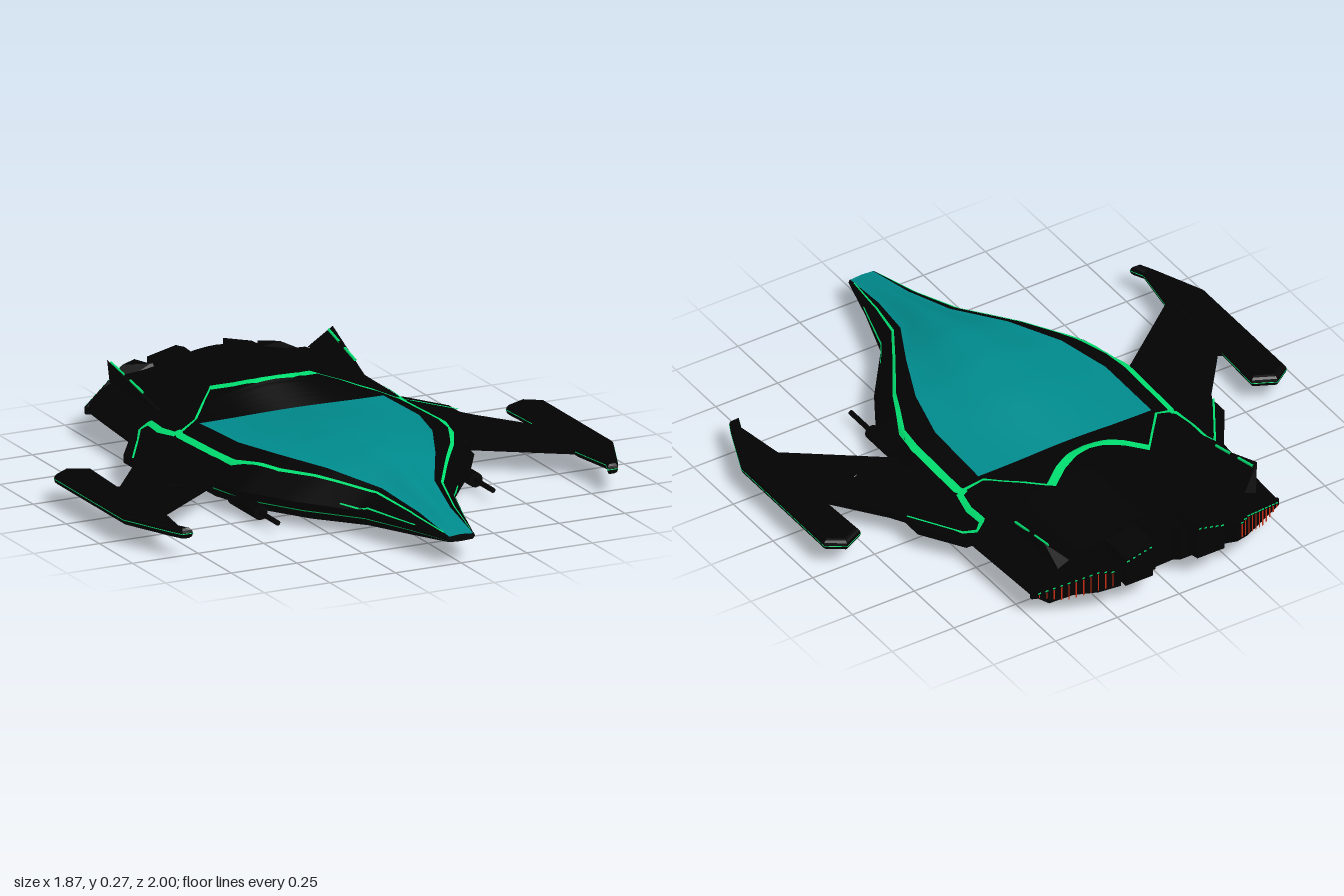
import * as THREE from 'three';

const mat = (name, color, side = THREE.FrontSide) =>
  Object.assign(new THREE.MeshStandardMaterial({ color, side }), { name });
const { lerp, clamp } = THREE.MathUtils;

// Hull stations: z, crown y, canopy edge x/y, shoulder x/y, widest x/y, chine x/y, keel y
const SECTIONS = [
  [1.0, .105, .046, .102, .05, .1, .053, .092, .045, .082, .08],
  [.8, .152, .06, .135, .085, .125, .112, .1, .09, .06, .05],
  [.6, .203, .1, .17, .135, .158, .18, .1, .15, .045, .028],
  [.4, .24, .205, .2, .26, .176, .335, .1, .27, .03, .012],
  [.2, .25, .295, .207, .385, .174, .455, .1, .38, .025, .006],
  [0, .237, .345, .2, .447, .16, .478, .1, .43, .02, .002],
  [-.28, .195, .35, .19, .447, .15, .5, .1, .44, .02, .004],
  [-.42, .262, .335, .21, .447, .155, .52, .1, .44, .02, .008],
  [-.85, .26, .34, .205, .435, .165, .5, .1, .43, .04, .022],
];
const CROWN = 9; // columns from centreline to canopy edge

// Half outline of the hull at z, from crown to keel
function halfSection(z) {
  let i = 0;
  while (i < SECTIONS.length - 2 && z < SECTIONS[i + 1][0]) i++;
  const a = SECTIONS[i], b = SECTIONS[i + 1], t = (z - a[0]) / (b[0] - a[0]);
  const [, yt, xc, yc, xg, yg, w, yw, xb, yb, yk] = a.map((v, k) => lerp(v, b[k], t));
  const pts = [];
  for (let k = 0; k <= CROWN; k++) {
    const u = k / CROWN;
    pts.push([xc * u, yc + (yt - yc) * (0.5 + 0.5 * Math.cos(Math.PI * u))]);
  }
  pts.push([xg, yg], [w, yw]);
  for (const u of [.5, .57, 1]) pts.push([lerp(w, xb, u), lerp(yw, yb, u)]);
  pts.push([0, yk]);
  return pts;
}

// Height of the upper hull (or of the wing outside it)
function topY(x, z) {
  const p = halfSection(z), ax = Math.abs(x);
  for (let k = 0; k < CROWN + 2; k++)
    if (ax <= p[k + 1][0]) return lerp(p[k][1], p[k + 1][1], (ax - p[k][0]) / (p[k + 1][0] - p[k][0]));
  return .109;
}

function gridGeometry(rows) {
  const n = rows[0].length, index = [];
  for (let i = 0; i < rows.length - 1; i++)
    for (let j = 0; j < n - 1; j++) {
      const a = i * n + j, c = a + n;
      index.push(a, a + 1, c, a + 1, c + 1, c);
    }
  const g = new THREE.BufferGeometry();
  g.setAttribute('position', new THREE.Float32BufferAttribute(rows.flat(2), 3));
  g.setIndex(index);
  g.computeVertexNormals();
  return g;
}

// Lengthwise strip of hull between two outline columns (negative = right side)
function hullStrip(from, to, zMax, zMin) {
  const rows = [];
  for (let i = 0; i < SECTIONS.length - 1; i++) {
    const a = SECTIONS[i][0], b = SECTIONS[i + 1][0];
    if (a > zMax || b < zMin) continue;
    for (let s = rows.length ? 1 : 0; s <= 4; s++) {
      const z = lerp(a, b, s / 4), half = halfSection(z), row = [];
      for (let k = from; k <= to; k++) {
        const [x, y] = half[Math.abs(k)];
        row.push([Math.sign(k) * x, y, z]);
      }
      rows.push(row);
    }
  }
  return gridGeometry(rows);
}

function hullCap(z) {
  const h = halfSection(z);
  const ring = [...h, ...h.slice(1, -1).reverse().map(([x, y]) => [-x, y])];
  return new THREE.ShapeGeometry(new THREE.Shape(ring.map(p => new THREE.Vector2(...p)))).translate(0, 0, z);
}

// Flat band laid over the upper surface along plan points [x, z, width]
function ribbon(points, lift = .003) {
  const rows = [];
  for (let i = 0; i < points.length - 1; i++) {
    for (let s = i ? 1 : 0; s <= 8; s++) {
      const [x, z, w] = points[i].map((v, k) => lerp(v, points[i + 1][k], s / 8));
      const p = points[i], q = points[s === 8 ? Math.min(i + 2, points.length - 1) : i + 1];
      const d = new THREE.Vector2(q[0] - p[0], q[1] - p[1]).normalize();
      rows.push([-.5, 0, .5].map(o => {
        const px = x - d.y * w * o, pz = z + d.x * w * o;
        return [px, topY(px, pz) + lift, pz];
      }));
    }
  }
  return gridGeometry(rows);
}

// Plate cut from plan points [x, z], standing on y
function plate(points, y, depth, { hole, bevel = 0, offset = -bevel } = {}) {
  const v = pts => pts.map(([x, z]) => new THREE.Vector2(x, -z));
  const shape = new THREE.Shape(v(points));
  if (hole) shape.holes.push(new THREE.Path(v(hole)));
  const g = new THREE.ExtrudeGeometry(shape, {
    depth, bevelEnabled: bevel > 0, bevelThickness: bevel, bevelSize: bevel, bevelOffset: offset, bevelSegments: 3,
  });
  return g.rotateX(-Math.PI / 2).translate(0, y, 0);
}

// Plate whose bottom and top follow height rules
function shapedPlate(points, low, top, options) {
  const g = plate(points, 0, 1, options), p = g.attributes.position;
  for (let i = 0; i < p.count; i++) p.setY(i, (p.getY(i) > .5 ? top : low)(p.getX(i), p.getZ(i)));
  g.computeVertexNormals();
  return g;
}

export function createModel() {
  const model = new THREE.Group();
  model.name = 'starfighter';
  const black = mat('hull black', 0x020202, THREE.DoubleSide);
  const teal = mat('canopy teal', 0x008a8c);
  const green = mat('trim green', 0x00e070, THREE.DoubleSide);
  const red = mat('vent red', 0xc42a10);
  const add = (name, geometry, material = black) => {
    const m = new THREE.Mesh(geometry, material);
    m.name = name;
    model.add(m);
  };
  // Thin light facing backwards
  const backPanel = (w, h, x, y, z) => new THREE.PlaneGeometry(w, h).rotateY(Math.PI).translate(x, y, z);

  // Fuselage
  add('canopy', hullStrip(-CROWN, CROWN, 1, -.28), teal);
  add('rearDeck', hullStrip(-CROWN, CROWN, -.28, -.85));
  add('noseCap', hullCap(1));
  add('tailCap', hullCap(-.85));
  const bands = [['rim', 9, 10, 1, -.85], ['upperSide', 10, 11, 1, -.85], ['lowerSide', 11, 12, 1, -.85],
    ['lowerTrim', 12, 13, 1, -.28, green], ['rearLowerSide', 12, 13, -.28, -.85],
    ['chine', 13, 14, 1, -.85], ['belly', 14, 15, 1, -.85]];
  for (const [name, a, b, z0, z1, m] of bands) {
    add(name + 'Left', hullStrip(a, b, z0, z1), m);
    add(name + 'Right', hullStrip(-b, -a, z0, z1), m);
  }

  // Ridges and chevron on the slope behind the canopy
  for (let i = 0; i < 5; i++) {
    const z = -.3 - i * .025, x = .32 - i * .03;
    add('deckRidge', ribbon([[-x, z, .012], [0, z, .012], [x, z, .012]], .008));
  }
  add('deckChevron', ribbon([[-.2, -.505, .035], [-.13, -.455, .035], [-.06, -.425, .035], [0, -.417, .035],
    [.06, -.425, .035], [.13, -.455, .035], [.2, -.505, .035]], .004), green);
  add('tailCentre', plate([[-.1, -.84], [.1, -.84], [.06, -.88], [-.06, -.88]], .06, .18));

  const engineTop = (x, z) => topY(x, -.85) - .006 - (-.84 - z) * .06;
  // Tail block slopes up underneath and down outward
  const blockTop = x => .2 - Math.max(0, Math.abs(x) - .3) * .45;
  const blockLow = (x, z) =>
    .03 + .1 * clamp((-.85 - z) / .15, 0, 1) + Math.max(0, Math.abs(x) - .4) * .55;

  for (const s of [1, -1]) {
    const side = s > 0 ? 'Left' : 'Right';
    const m = pts => pts.map(([x, ...rest]) => [x * s, ...rest]);

    // Green trim beside the canopy, over the shoulder and along the wing root
    add('canopyTrim' + side, ribbon(m([[.05, .97, .004], [.082, .78, .006], [.125, .61, .009], [.21, .47, .01],
      [.33, .28, .013], [.415, .1, .02], [.43, 0, .026], [.43, -.27, .026], [.42, -.31, .02]])), green);
    add('noseTrim' + side, ribbon(m([[.095, .84, .003], [.165, .62, .004], [.225, .53, .003]])), green);
    add('deckTrim' + side, ribbon(m([[.2, -.5, .007], [.35, -.31, .009], [.42, -.29, .015]])), green);
    add('shoulderTrim' + side, ribbon(m([[.435, -.29, .02], [.452, -.38, .02], [.45, -.46, .02], [.48, -.475, .01],
      [.51, -.43, .007], [.62, -.25, .007]])), green);

    // Swept wing, thinning towards its tip pod
    const wingHalf = x => lerp(.018, .008, clamp((Math.abs(x) - .5) / .3, 0, 1));
    add('wing' + side, shapedPlate(m([[.42, .03], [.49, .07], [.8, .32], [.86, .2], [.86, -.06], [.785, -.02],
      [.65, -.19], [.62, -.24], [.62, -.32], [.52, -.47], [.42, -.47]]),
    x => .091 - wingHalf(x), x => .091 + wingHalf(x),
    { hole: m([[.645, .04], [.645, .065], [.59, .09], [.59, .07]]) }));
    const pod = m([[.79, -.225], [.87, -.265], [.935, -.22], [.935, .3], [.855, .49], [.83, .54], [.79, .54],
      [.812, .49], [.785, .31], [.8, 0]]);
    add('wingPod' + side, plate(pod, .089, .005, { bevel: .018 }));
    add('podTrim' + side, plate(pod, .0905, .001, { bevel: .001, offset: 0 }), green);

    // Gun under the shoulder
    const tube = (r, len, z) => new THREE.CylinderGeometry(r, r, len, 12).rotateX(Math.PI / 2).translate(.41 * s, .042, z);
    add('gunHousing' + side, tube(.026, .2, .2));
    add('gunBarrel' + side, tube(.009, .2, .33));

    // Leaning tail fin with a lit edge
    const fin = [[.39, .185, -.5], [.4, .18, -.5], [.355, .2, -.86], [.4, .18, -.86], [.43, .275, -.82]];
    const finGeo = new THREE.BufferGeometry().setFromPoints(
      [0, 4, 2, 1, 3, 4, 0, 1, 4, 2, 4, 3].map(i => new THREE.Vector3(fin[i][0] * s, fin[i][1], fin[i][2])));
    finGeo.computeVertexNormals();
    add('tailFin' + side, finGeo);
    for (const [t0, t1] of [[0, .4], [.6, 1]]) {
      const at = t => new THREE.Vector3(lerp(.405, .415, t) * s, lerp(.218, .263, t), lerp(-.6, -.82, t));
      add('finTrim' + side, new THREE.TubeGeometry(new THREE.LineCurve3(at(t0), at(t1)), 1, .005, 6), green);
    }

    // Slanted tail block and engine
    add('tailBlock' + side, shapedPlate(
      m([[.04, -.84], [.5, -.84], [.5, -.85], [.3, -.961], [.235, -1], [.21, -.93], [.05, -.93]]), blockLow, blockTop));
    add('engine' + side, shapedPlate(
      m([[.09, -.84], [.2, -.84], [.2, -.975], [.09, -.975], [.08, -.93]]), () => .1, engineTop));

    // Vents on the slanted tail face, with a row of lights above
    for (let i = 0; i < 11; i++) {
      const t = (i + .5) / 11, x = lerp(.49, .25, t), z = lerp(-.861, -.996, t);
      const y0 = blockLow(x, z) + .008, y1 = blockTop(x) - .014;
      add('ventSlat' + side, backPanel(.005, y1 - y0, x * s, (y0 + y1) / 2, z), red);
      add('ventLight' + side, backPanel(.011, .006, x * s, y1 + .006, z), green);
    }
    for (let i = 0; i < 5; i++) {
      const x = .1 + i * .0225;
      add('engineLight' + side, backPanel(.011, .006, x * s, engineTop(x, -.975) - .012, -.977), green);
    }
  }
  return model;
}
